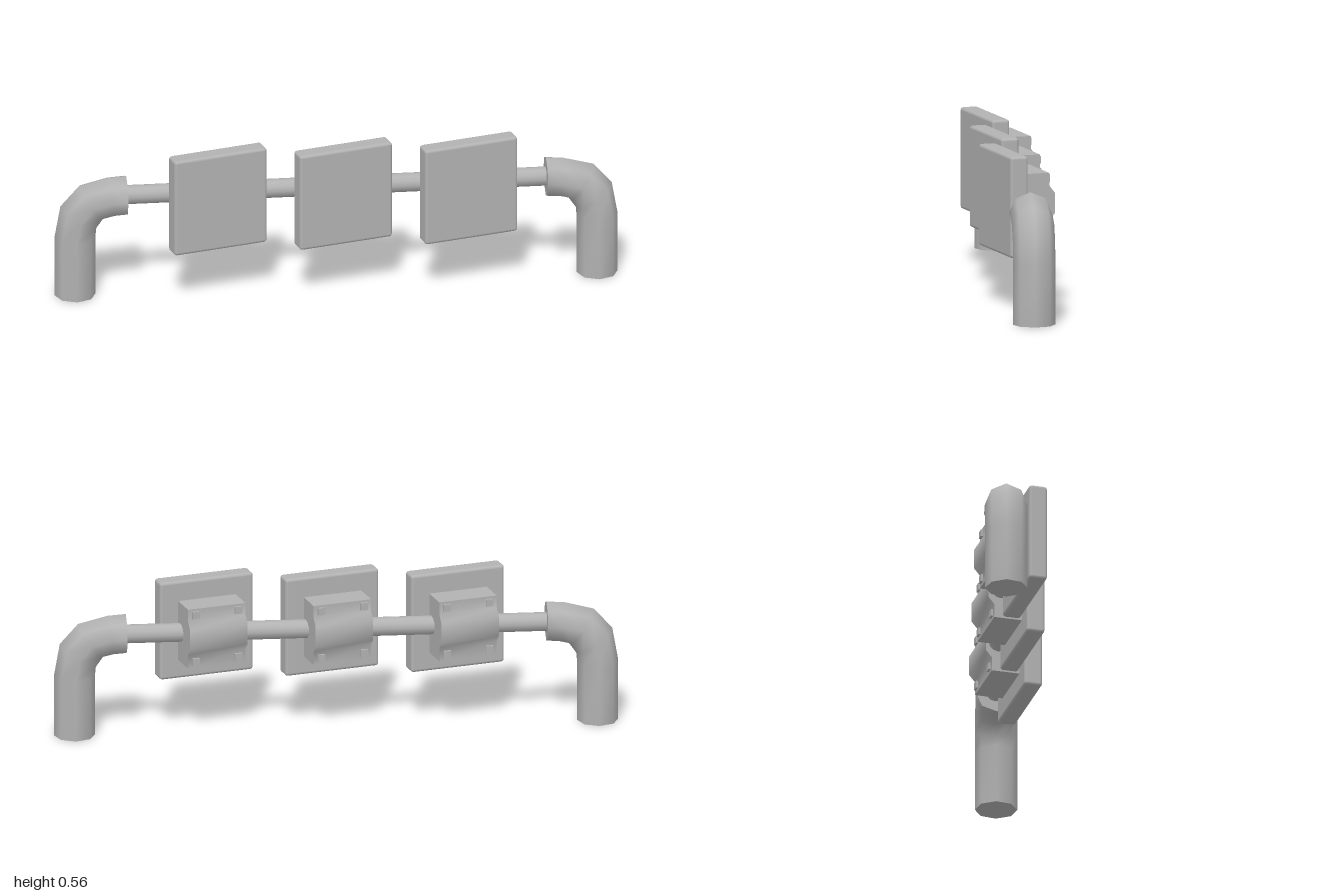
import * as THREE from 'three';
import { toCreasedNormals } from 'three/addons/utils/BufferGeometryUtils.js';
import { RoundedBoxGeometry } from 'three/addons/geometries/RoundedBoxGeometry.js';

const AXIS_Y = 0.372, AXIS_Z = -0.025;
const grey = new THREE.MeshStandardMaterial({ color: 0xb2b2b2 });
grey.name = 'plain grey';

function part(name, geometry, parent, x = 0, y = 0, z = 0) {
  const mesh = new THREE.Mesh(geometry, grey);
  mesh.name = name;
  mesh.position.set(x, y, z);
  parent.add(mesh);
  return mesh;
}

// Eight-sided elbow: each ring is [x, y, tilt in degrees, radius]
function elbowGeometry() {
  const rings = [
    [0.927, 0, 0, 0.073], [0.927, 0.22, 0, 0.073], [0.915, 0.295, 35, 0.078],
    [0.87, 0.35, 55, 0.077], [0.8, 0.368, 82, 0.073], [0.745, AXIS_Y, 90, 0.073],
  ];
  const sides = 8, pos = [], index = [];
  for (const [x, y, deg, r] of rings) {
    const tilt = THREE.MathUtils.degToRad(deg);
    for (let j = 0; j < sides; j++) {
      const a = (j / sides) * Math.PI * 2, out = r * Math.cos(a);
      pos.push(x + out * Math.cos(tilt), y + out * Math.sin(tilt), 0.075 * Math.sin(a));
    }
  }
  const last = (rings.length - 1) * sides;
  for (let j = 0; j < sides; j++) {
    const k = (j + 1) % sides;
    for (let i = 0; i < last; i += sides) {
      const a = i + j, b = i + k, c = a + sides, d = b + sides;
      index.push(a, c, b, b, c, d);
    }
    // End caps
    if (j > 0 && k > 0) index.push(0, j, k, last, last + k, last + j);
  }
  const g = new THREE.BufferGeometry();
  g.setAttribute('position', new THREE.Float32BufferAttribute(pos, 3));
  g.setIndex(index);
  return toCreasedNormals(g, Math.PI / 3);
}

// Clamp block with a raised band along its back, extruded across the panel
function clampGeometry() {
  const profile = [
    [0.03, -0.112], [0.134, -0.112], [0.134, -0.062], [0.155, -0.037],
    [0.155, 0.036], [0.134, 0.063], [0.134, 0.108], [0.03, 0.108],
  ];
  const shape = new THREE.Shape(profile.map(([x, y]) => new THREE.Vector2(x, y)));
  const g = new THREE.ExtrudeGeometry(shape, { depth: 0.216, bevelEnabled: false });
  g.translate(0, 0, -0.108);
  g.rotateY(Math.PI / 2);
  return toCreasedNormals(g, 0.8);
}

export function createModel() {
  const model = new THREE.Group();
  model.name = 'panel rail';

  // Bent end posts
  const elbow = elbowGeometry();
  part('leftPost', elbow, model, 0, 0, AXIS_Z);
  part('rightPost', elbow, model, 0, 0, AXIS_Z).rotation.y = Math.PI;

  // Horizontal bar
  const bar = new THREE.CylinderGeometry(0.034, 0.034, 1.5, 12);
  bar.rotateZ(Math.PI / 2);
  part('crossBar', bar, model, 0, AXIS_Y, AXIS_Z - 0.004);

  // Three angled panels, each with a clamp and four bolts behind
  const panel = new RoundedBoxGeometry(0.35, 0.362, 0.066, 2, 0.011);
  const clamp = clampGeometry();
  const bolt = new THREE.BoxGeometry(0.026, 0.026, 0.02);
  for (let i = 0; i < 3; i++) {
    const unit = new THREE.Group();
    unit.name = 'panelUnit' + (i + 1);
    unit.position.set(-0.428 + i * 0.445, 0.374, 0.05);
    unit.rotation.y = THREE.MathUtils.degToRad(15);
    model.add(unit);
    part('panel', panel, unit);
    part('clamp', clamp, unit);
    for (const x of [-0.08, 0.08])
      for (const y of [-0.088, 0.086]) part('bolt', bolt, unit, x, y, -0.132);
  }
  return model;
}
